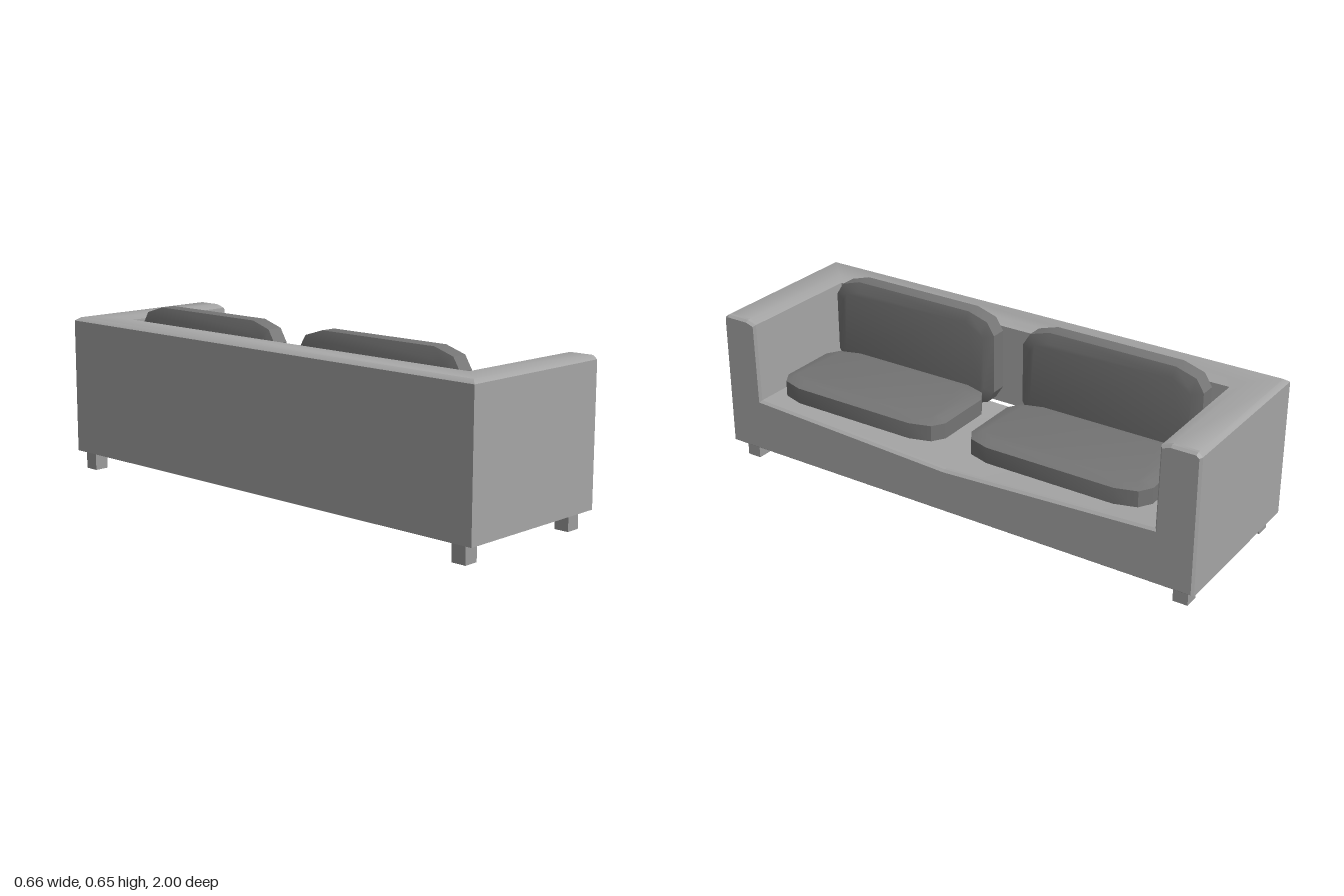
import * as THREE from 'three';
import { toCreasedNormals } from 'three/addons/utils/BufferGeometryUtils.js';

const frameMaterial = new THREE.MeshStandardMaterial({ color: 0xa5a5a5 });
const cushionMaterial = new THREE.MeshStandardMaterial({ color: 0x757575 });
const legMaterial = new THREE.MeshStandardMaterial({ color: 0x9c9c9c });

function addMesh(parent, name, geometry, material, x = 0, y = 0, z = 0) {
  const mesh = new THREE.Mesh(geometry, material);
  mesh.name = name;
  mesh.position.set(x, y, z);
  parent.add(mesh);
  return mesh;
}

// Quads with corners counter-clockwise seen from outside; only gentle folds are smoothed
function quadGeometry(quads) {
  const positions = [];
  for (const [a, b, c, d] of quads) positions.push(...a, ...b, ...c, ...a, ...c, ...d);
  const geometry = new THREE.BufferGeometry();
  geometry.setAttribute('position', new THREE.Float32BufferAttribute(positions, 3));
  return toCreasedNormals(geometry, 0.7);
}

const toShape = (points) => new THREE.Shape(points.map(([x, y]) => new THREE.Vector2(x, y)));

const BACK = -0.333, FRONT = 0.31, BASE = 0.068;
// Wall section as [inset, height]; the arms taper slightly towards the front
const SECTION = [[0, BASE], [0, 0.589], [0.018, 0.602], [0.115, 0.602], [0.155, 0.59], [0.16, 0.28]];
const armZ = (d) => 1 - d * 0.96;

// Back and arms: the wall section swept round a mitred U
function frameGeometry() {
  const stations = [
    ([d, y]) => [FRONT, y, armZ(d)],
    ([d, y]) => [BACK + d, y, 1 - d],
    ([d, y]) => [BACK + d, y, d - 1],
    ([d, y]) => [FRONT, y, -armZ(d)],
  ];
  const quads = [];
  for (let i = 0; i < 3; i++) {
    const p = stations[i], q = stations[i + 1];
    for (let j = 0; j < SECTION.length - 1; j++) {
      const s = SECTION[j], t = SECTION[j + 1];
      quads.push([p(s), p(t), q(t), q(s)]);
    }
  }
  // Underside
  quads.push([[BACK, BASE, -1], [FRONT, BASE, -1], [FRONT, BASE, 1], [BACK, BASE, 1]]);
  return quadGeometry(quads);
}

// Seat deck, sagging towards the middle of its front edge
function deckGeometry() {
  const x0 = BACK + 0.16;
  return quadGeometry([-1, 1].map((side) => {
    const near = [[x0, 0.28, side * 0.84], [FRONT, 0.28, side * armZ(0.16)]];
    const mid = [[x0, 0.265, 0], [FRONT, 0.24, 0]];
    const [lo, hi] = side < 0 ? [near, mid] : [mid, near];
    return [lo[0], hi[0], hi[1], lo[1]];
  }));
}

// U-shaped front face with a narrow chamfered rim
function frontGeometry() {
  const half = SECTION.map(([d, y]) => [armZ(d), y]);
  const mirrored = half.map(([z, y]) => [-z, y]).reverse();
  return new THREE.ExtrudeGeometry(toShape([...half, [0, 0.24], ...mirrored]), {
    depth: 0.012, bevelThickness: 0.01, bevelSize: 0.008, bevelOffset: -0.008, bevelSegments: 1,
  }).rotateY(Math.PI / 2);
}

// Upright cushion: cut-corner outline with softly bevelled faces, thin along x
function cushionGeometry() {
  const corner = [[0.366, 0.115], [0.336, 0.163], [0.255, 0.188]];
  const flip = (sx, sy) => corner.map(([x, y]) => [sx * x, sy * y]);
  const outline = [...flip(1, 1), ...flip(-1, 1).reverse(), ...flip(-1, -1), ...flip(1, -1).reverse()];
  const geometry = new THREE.ExtrudeGeometry(toShape(outline), {
    depth: 0.061, bevelThickness: 0.012, bevelSize: 0.04, bevelOffset: -0.04, bevelSegments: 1,
  });
  return toCreasedNormals(geometry.center().rotateY(Math.PI / 2), 0.4);
}

export function createModel() {
  const sofa = new THREE.Group();
  sofa.name = 'sofa';

  addMesh(sofa, 'backAndArms', frameGeometry(), frameMaterial);
  addMesh(sofa, 'seatDeck', deckGeometry(), frameMaterial);
  addMesh(sofa, 'frontPanel', frontGeometry(), frameMaterial, FRONT);

  const cushion = cushionGeometry();
  for (const [name, seatZ, backZ] of [['left', -0.41, -0.422], ['right', 0.436, 0.437]]) {
    const seat = addMesh(sofa, `${name}SeatCushion`, cushion, cushionMaterial, 0.1, 0.327, seatZ);
    seat.rotation.z = Math.PI / 2;
    addMesh(sofa, `${name}BackCushion`, cushion, cushionMaterial, -0.13, 0.466, backZ);
  }

  const leg = new THREE.BoxGeometry(0.057, 0.07, 0.057);
  for (const [name, x] of [['back', -0.291], ['front', 0.261]]) {
    for (const z of [-0.935, 0.938]) addMesh(sofa, `${name}Leg`, leg, legMaterial, x, 0.035, z);
  }
  return sofa;
}
